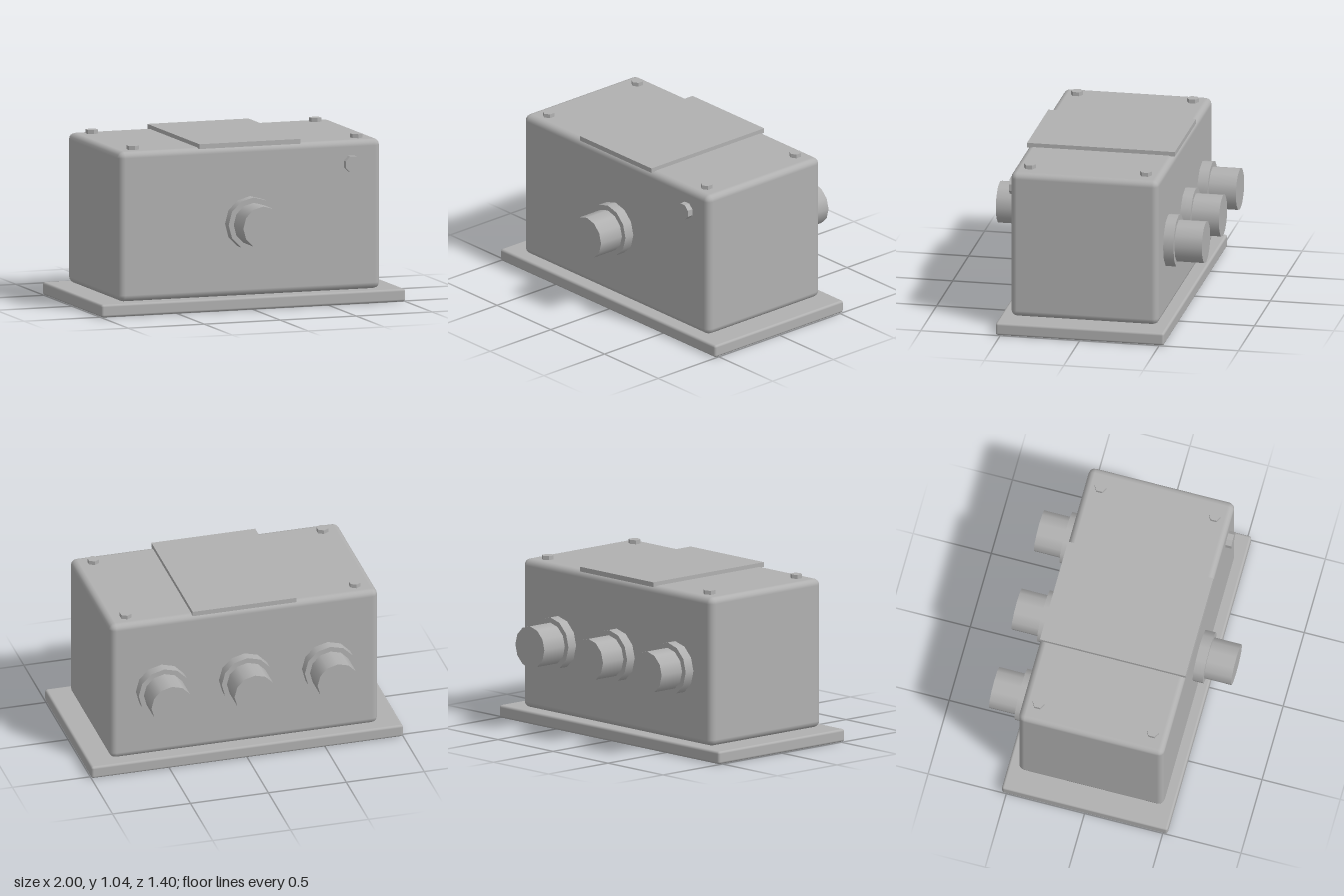
import * as THREE from 'three';
import { RoundedBoxGeometry } from 'three/addons/geometries/RoundedBoxGeometry.js';

export function createModel() {
  const model = new THREE.Group();
  model.name = 'junctionBox';
  const grey = new THREE.MeshStandardMaterial({ color: 0xb0b0b0 });
  grey.name = 'castGrey';

  const add = (name, geometry, x, y, z, parent = model) => {
    const mesh = new THREE.Mesh(geometry, grey);
    mesh.name = name;
    mesh.position.set(x, y, z);
    parent.add(mesh);
    return mesh;
  };
  // Sharp-sided prism for bolts and knobs
  const prism = (r, h, sides, turn = 0) => {
    const g = new THREE.CylinderGeometry(r, r, h, sides).rotateY(turn).toNonIndexed();
    g.computeVertexNormals();
    return g;
  };

  // Mounting flange and housing, both with softened edges
  add('basePlate', new RoundedBoxGeometry(2, 0.08, 1.06, 2, 0.015), 0, 0.04, 0);
  add('housing', new RoundedBoxGeometry(1.72, 0.935, 0.93, 2, 0.04), 0, 0.5475, 0);

  // Raised cover on the lid
  add('lidPlate', new THREE.BoxGeometry(0.666, 0.03, 0.93), 0, 1.025, 0);

  // Hexagonal lid bolts at the four corners
  const bolt = prism(0.038, 0.035, 6);
  for (const x of [-0.735, 0.735])
    for (const z of [-0.365, 0.365]) add('lidBolt', bolt, x, 1.0225, z);

  // Cable glands: wide collar, then a narrower plug, pointing along +z
  const collar = new THREE.CylinderGeometry(0.165, 0.165, 0.08, 12).rotateX(Math.PI / 2);
  const plug = new THREE.CylinderGeometry(0.132, 0.132, 0.19, 12).rotateX(Math.PI / 2);
  const addGland = (name, x, back) => {
    const gland = new THREE.Group();
    gland.name = name;
    add('collar', collar, 0, 0, 0.49, gland);
    add('plug', plug, 0, 0, 0.607, gland);
    gland.position.set(x, 0.535, 0);
    if (back) gland.rotation.y = Math.PI;
    model.add(gland);
  };
  addGland('frontGland', 0, false);
  for (const x of [-0.533, 0, 0.533]) addGland('rearGland', x, true);

  // Small eight-sided earth stud on the front face
  add('earthStud', prism(0.053, 0.045, 8, Math.PI / 8).rotateX(Math.PI / 2), 0.665, 0.87, 0.48);

  return model;
}
